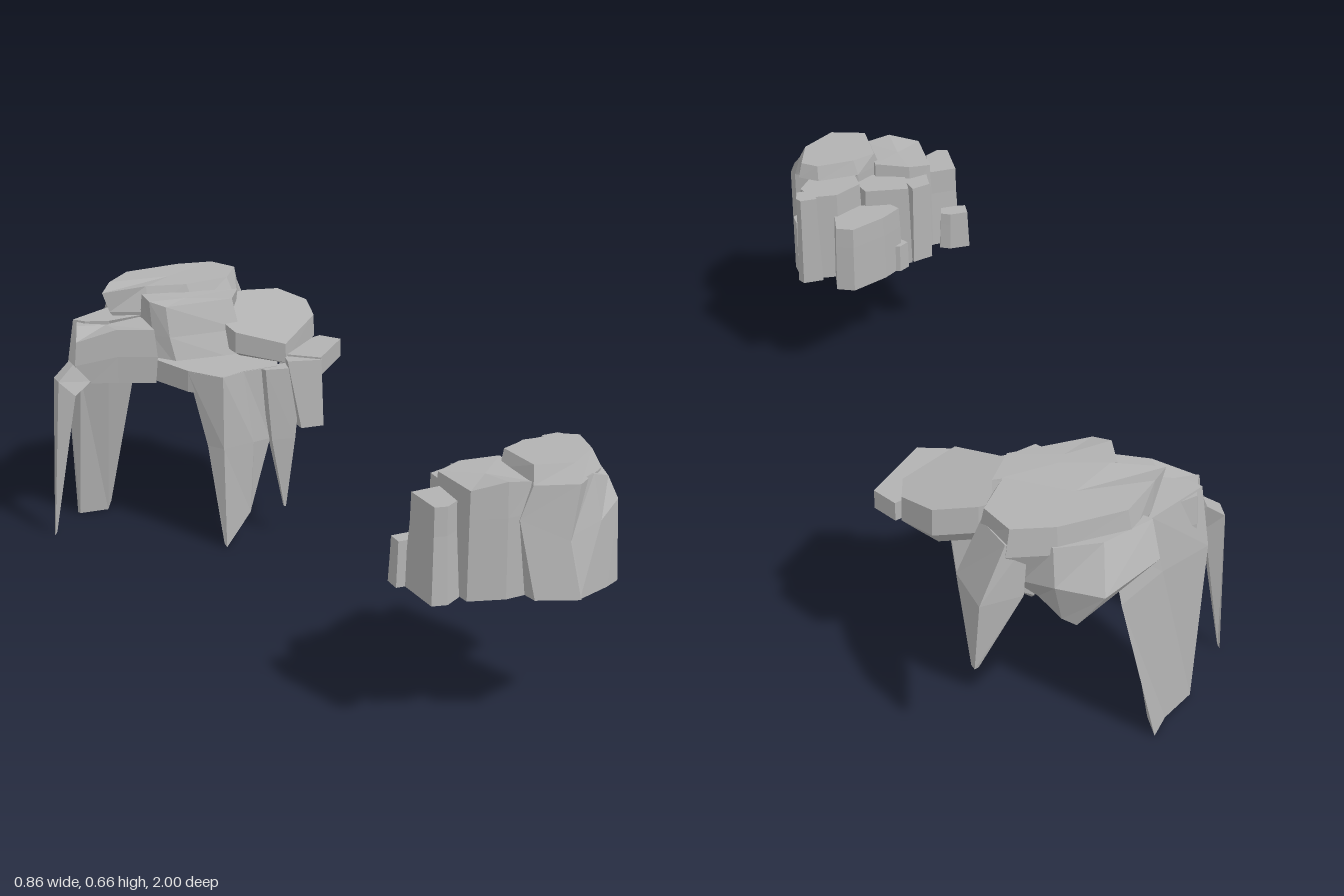
import * as THREE from 'three';

const stone = new THREE.MeshStandardMaterial({ color: 0xb2b2b2, side: THREE.DoubleSide, flatShading: true });
stone.name = 'grey stone';

// Joins rings of [x, y, z] points, listed from top to bottom, into a faceted rock.
function rock(name, rings, closed = true) {
  const n = rings[0].length, pos = [];
  let area = 0;
  rings[0].forEach((p, i) => {
    const q = rings[0][(i + 1) % n];
    area += p[0] * q[2] - q[0] * p[2];
  });
  const tri = (a, b, c) => pos.push(...(area > 0 ? [...a, ...c, ...b] : [...a, ...b, ...c]));
  const mid = (r) => [0, 1, 2].map((k) => r.reduce((s, p) => s + p[k], 0) / n);
  const top = rings[0], low = rings[rings.length - 1], tc = mid(top), lc = mid(low);
  for (let i = 0; i < n; i++) {
    const j = (i + 1) % n;
    tri(tc, top[i], top[j]);
    for (let k = 0; k + 1 < rings.length; k++) {
      const a = rings[k], b = rings[k + 1];
      tri(a[i], b[i], b[j]);
      tri(a[i], b[j], a[j]);
    }
    if (closed) tri(lc, low[j], low[i]);
  }
  const g = new THREE.BufferGeometry();
  g.setAttribute('position', new THREE.Float32BufferAttribute(pos, 3));
  g.computeVertexNormals();
  const mesh = new THREE.Mesh(g, stone);
  mesh.name = name;
  return mesh;
}

// Gives a plan outline of [x, z] points one height, or a height that slopes along z.
const at = (y, plan, slope = 0, z0 = 0) => plan.map(([x, z]) => [x, y + slope * (z - z0), z]);

// Scales a plan outline about its middle.
function grow(plan, s) {
  const cx = plan.reduce((t, p) => t + p[0], 0) / plan.length;
  const cz = plan.reduce((t, p) => t + p[1], 0) / plan.length;
  return plan.map(([x, z]) => [cx + (x - cx) * s, cz + (z - cz) * s]);
}

function createArch() {
  const arch = new THREE.Group();
  arch.name = 'rockArch';

  // Flat summit with a narrower underside
  const summit = [[-0.25, -0.74], [-0.21, -0.8], [-0.13, -0.89], [0.03, -0.92], [0.13, -0.91], [0.17, -0.83], [0.11, -0.73], [-0.02, -0.7], [-0.13, -0.72]];
  const summitTop = at(0.658, summit);
  summitTop[0][1] = 0.645;
  arch.add(rock('summitSlab', [summitTop,
    at(0.59, [[-0.23, -0.74], [-0.2, -0.82], [-0.14, -0.9], [0.03, -0.93], [0.14, -0.92], [0.18, -0.82], [0.13, -0.7], [0, -0.68], [-0.13, -0.7]]),
    at(0.5, [[-0.16, -0.74], [-0.16, -0.8], [-0.12, -0.88], [0.03, -0.9], [0.13, -0.89], [0.16, -0.8], [0.13, -0.68], [0, -0.66], [-0.13, -0.7]])]));

  // Rear bulge drooping to a point, and the shard beside it
  arch.add(rock('rearBulge', [
    at(0.61, [[-0.19, -0.87], [-0.07, -0.93], [0.04, -0.93], [0.1, -0.86], [-0.12, -0.8]]),
    [[-0.2, 0.53, -0.91], [-0.06, 0.515, -1], [0.04, 0.52, -0.955], [0.12, 0.49, -0.87], [-0.1, 0.5, -0.8]],
    [[-0.09, 0.44, -0.9], [-0.01, 0.41, -0.955], [0.02, 0.42, -0.94], [0.06, 0.44, -0.88], [-0.05, 0.46, -0.84]]]));
  arch.add(rock('rearShard', [
    at(0.62, [[0.09, -0.91], [0.14, -0.915], [0.175, -0.82], [0.1, -0.78]]),
    at(0.48, [[0.1, -0.92], [0.2, -0.94], [0.23, -0.82], [0.12, -0.78]]),
    at(0.3, [[0.2, -0.93], [0.21, -0.935], [0.215, -0.92], [0.205, -0.92]])]));

  // Central block below the summit's front edge
  arch.add(rock('centreBlock', [
    [[-0.15, 0.642, -0.7], [-0.155, 0.642, -0.62], [-0.12, 0.632, -0.585], [0.08, 0.63, -0.61], [0.13, 0.63, -0.7]],
    at(0.55, [[-0.15, -0.72], [-0.15, -0.61], [-0.115, -0.57], [0.09, -0.58], [0.13, -0.72]]),
    at(0.47, [[-0.15, -0.72], [-0.15, -0.6], [-0.1, -0.55], [0.08, -0.55], [0.1, -0.7]])]));

  // Thin sloping shoulder with a ledge tucked under its outer edge
  const shoulder = [[0.02, -0.72], [0.17, -0.76], [0.27, -0.75], [0.325, -0.67], [0.31, -0.58], [0.17, -0.44], [0.06, -0.53]];
  arch.add(rock('slopingShoulder', [at(0.605, shoulder, -0.22, -0.75),
    at(0.535, grow(shoulder, 1.01), -0.16, -0.75), at(0.5, grow(shoulder, 0.8), -0.1, -0.75)]));
  const ledge = [[0.24, -0.54], [0.33, -0.585], [0.37, -0.53], [0.25, -0.385], [0.16, -0.46]];
  arch.add(rock('sideLedge', [at(0.505, ledge), at(0.455, ledge)]));
  arch.add(rock('sideStub', [
    at(0.5, [[0.17, -0.45], [0.26, -0.41], [0.25, -0.38], [0.16, -0.4]]),
    at(0.315, [[0.19, -0.41], [0.255, -0.4], [0.255, -0.375], [0.19, -0.375]])]));

  // Front ledge, hollowed at the back, and its tapering legs
  const front = [[-0.155, -0.59], [-0.1, -0.62], [0.1, -0.6], [0.17, -0.5], [0.14, -0.43], [0.04, -0.42], [-0.03, -0.39], [-0.1, -0.47]];
  const frontLow = at(0.425, front);
  [0, 1, 2, 3].forEach((i) => { frontLow[i][1] = [0.43, 0.46, 0.47, 0.45][i]; });
  arch.add(rock('frontLedge', [at(0.485, front, -0.05, -0.5), frontLow]));
  arch.add(rock('frontLeg', [
    at(0.48, [[-0.1, -0.47], [-0.03, -0.388], [0.04, -0.418], [0.14, -0.428], [0.06, -0.49]]),
    at(0.28, [[-0.06, -0.43], [-0.03, -0.385], [0.065, -0.41], [0.118, -0.425], [0.05, -0.45]]),
    [[-0.033, 0.01, -0.382], [-0.028, 0, -0.375], [0.055, 0.08, -0.41], [0.062, 0.09, -0.42], [0.03, 0.07, -0.42]]]));
  arch.add(rock('thinFrontLeg', [
    at(0.48, [[0.08, -0.45], [0.1, -0.41], [0.2, -0.395], [0.2, -0.45]]),
    at(0.28, [[0.115, -0.43], [0.118, -0.41], [0.182, -0.4], [0.182, -0.43]]),
    at(0.08, [[0.155, -0.42], [0.156, -0.415], [0.161, -0.415], [0.16, -0.42]])]));

  // Low shoulder above the main pillar
  const low = [[-0.345, -0.69], [-0.32, -0.77], [-0.24, -0.8], [-0.14, -0.74], [-0.15, -0.57], [-0.25, -0.61], [-0.36, -0.65]];
  const lowTop = at(0.575, grow(low, 0.94));
  lowTop[6][1] = 0.54;
  const lowMid = at(0.5, low);
  lowMid[6][1] = 0.475;
  const lowBase = at(0.425, grow(low, 0.96));
  lowBase[6] = [-0.32, 0.425, -0.64];
  arch.add(rock('pillarShoulder', [lowTop, lowMid, lowBase]));

  // Main pillar, widening up into the back of the summit
  arch.add(rock('mainPillar', [
    at(0.58, [[-0.335, -0.74], [-0.31, -0.71], [-0.25, -0.69], [-0.12, -0.72], [-0.09, -0.91], [-0.2, -0.83]]),
    at(0.425, [[-0.352, -0.76], [-0.325, -0.72], [-0.25, -0.7], [-0.145, -0.78], [-0.115, -0.925], [-0.23, -0.83]]),
    at(0, [[-0.326, -0.785], [-0.322, -0.775], [-0.24, -0.775], [-0.21, -0.84], [-0.212, -0.905], [-0.25, -0.85]])]));

  // Thin outer leg, bent at the knee
  arch.add(rock('outerLeg', [
    [[-0.365, 0.48, -0.69], [-0.32, 0.43, -0.68], [-0.32, 0.43, -0.64], [-0.365, 0.48, -0.65]],
    [[-0.412, 0.44, -0.68], [-0.37, 0.4, -0.67], [-0.37, 0.4, -0.62], [-0.412, 0.44, -0.635]],
    [[-0.436, 0, -0.642], [-0.431, 0.01, -0.64], [-0.431, 0.01, -0.635], [-0.436, 0, -0.636]]]));
  return arch;
}

function createOutcrop() {
  const outcrop = new THREE.Group();
  outcrop.name = 'columnOutcrop';
  const base = 0.342;

  // Tallest column: a cap overhanging a recessed shaft that flares at the front
  outcrop.add(rock('tallColumn', [
    at(0.635, [[0.19, 0.79], [0.25, 0.76], [0.35, 0.745], [0.39, 0.77], [0.37, 0.86], [0.29, 0.93], [0.2, 0.91]]),
    at(0.595, [[0.175, 0.8], [0.24, 0.75], [0.35, 0.735], [0.4, 0.765], [0.385, 0.88], [0.29, 0.96], [0.19, 0.93]]),
    [[0.17, 0.53, 0.8], [0.24, 0.53, 0.75], [0.32, 0.58, 0.76], [0.34, 0.57, 0.8], [0.35, 0.54, 0.89], [0.265, 0.47, 0.97], [0.16, 0.52, 0.93]],
    at(base, [[0.16, 0.8], [0.24, 0.75], [0.31, 0.76], [0.32, 0.81], [0.34, 0.9], [0.28, 1], [0.185, 0.965]])], false));

  // Tall post leaning out from under the cap's front corner
  outcrop.add(rock('frontPost', [
    [[0.34, 0.6, 0.86], [0.385, 0.6, 0.87], [0.4, 0.575, 0.885], [0.34, 0.6, 0.925], [0.29, 0.6, 0.945]],
    [[0.34, 0.53, 0.88], [0.4, 0.53, 0.9], [0.41, 0.53, 0.915], [0.35, 0.5, 0.95], [0.27, 0.48, 0.965]],
    at(base, [[0.34, 0.89], [0.4, 0.91], [0.41, 0.93], [0.37, 0.955], [0.28, 0.995]])], false));

  // Front column with a gently tilted top
  const frontPlan = [[0.04, 0.77], [0.1, 0.75], [0.19, 0.77], [0.2, 0.92], [0.13, 0.93], [0.05, 0.91]];
  outcrop.add(rock('frontColumn', [
    frontPlan.map(([x, z], i) => [x, [0.595, 0.605, 0.612, 0.6, 0.612, 0.595][i], z]),
    at(0.53, grow(frontPlan, 1.03)), at(base, grow(frontPlan, 1.06))], false));

  // Surrounding columns: name, top height, base spread, plan
  const columns = [
    ['sideColumn', 0.565, 1.2, [[-0.035, 0.79], [0.04, 0.78], [0.035, 0.88], [0, 0.905], [-0.03, 0.9]]],
    ['sideStep', 0.45, 1.1, [[-0.06, 0.745], [-0.01, 0.74], [0.015, 0.75], [0.01, 0.785], [-0.06, 0.785]]],
    ['innerColumn', 0.57, 1.08, [[0.05, 0.71], [0.1, 0.69], [0.12, 0.75], [0.1, 0.78], [0.05, 0.77]]],
    ['middleColumn', 0.575, 1.05, [[0.11, 0.685], [0.23, 0.69], [0.25, 0.74], [0.2, 0.78], [0.11, 0.76]]],
    ['backColumn', 0.53, 1.03, [[0.14, 0.665], [0.19, 0.62], [0.28, 0.57], [0.325, 0.585], [0.32, 0.67], [0.25, 0.7], [0.16, 0.69]]],
    ['cornerColumn', 0.595, 1.04, [[0.24, 0.7], [0.31, 0.65], [0.37, 0.65], [0.405, 0.7], [0.37, 0.76], [0.25, 0.77]]],
    ['cornerPost', 0.595, 1.2, [[0.365, 0.64], [0.41, 0.635], [0.42, 0.65], [0.415, 0.685], [0.37, 0.69]]],
    ['cornerStep', 0.5, 1.05, [[0.385, 0.69], [0.42, 0.685], [0.425, 0.72], [0.4, 0.74]]],
    ['backStep', 0.42, 1.05, [[0.12, 0.665], [0.145, 0.645], [0.175, 0.655], [0.15, 0.7]]],
  ];
  for (const [name, y, spread, plan] of columns) {
    const knee = y - (y - base) * 0.3;
    outcrop.add(rock(name, [at(y, grow(plan, 0.97)), at(knee, plan), at(base, grow(plan, spread))], false));
  }
  return outcrop;
}

export function createModel() {
  const model = new THREE.Group();
  model.name = 'rockFormations';
  model.add(createArch(), createOutcrop());
  return model;
}
